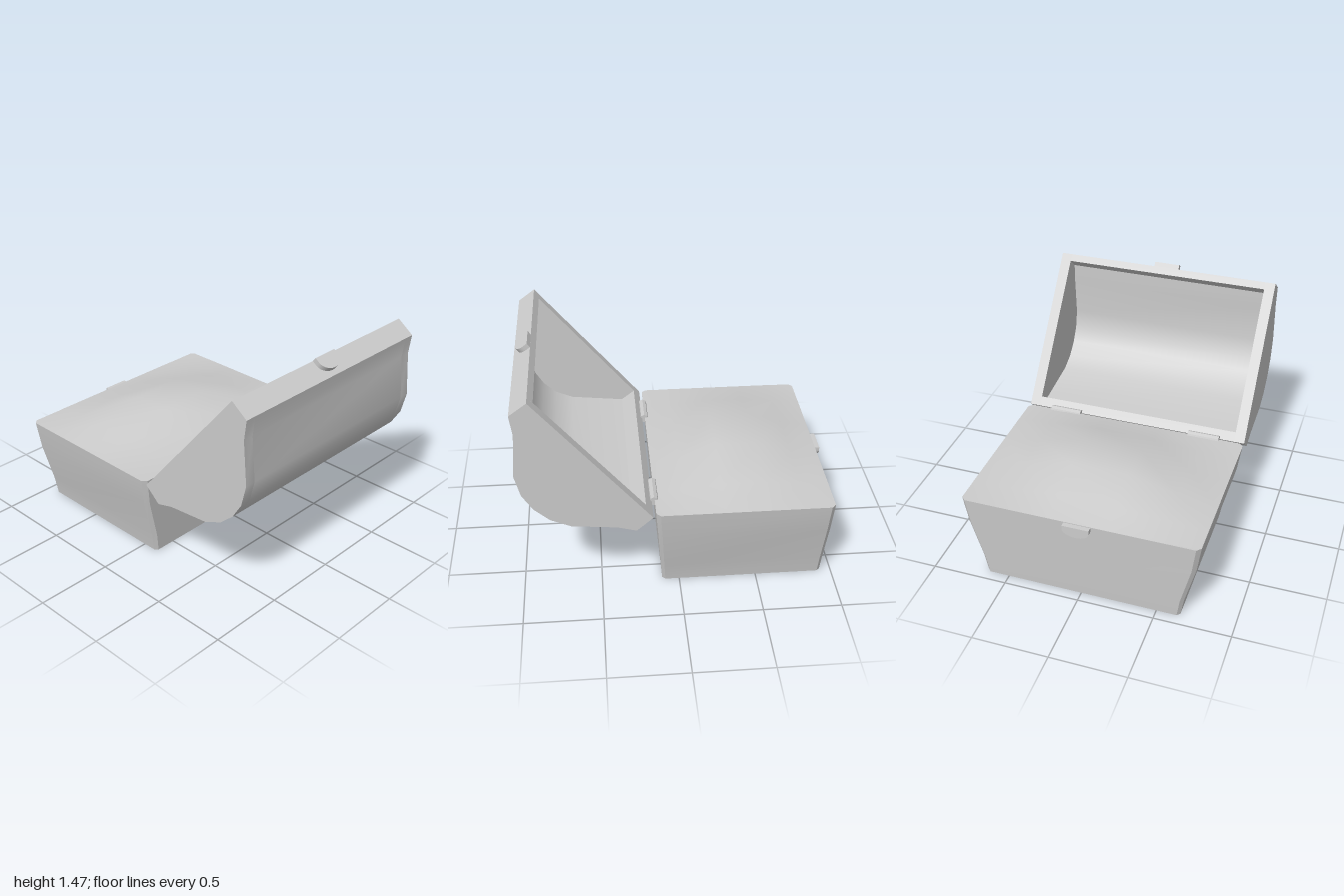
import * as THREE from 'three';
import { toCreasedNormals } from 'three/addons/utils/BufferGeometryUtils.js';

const material = new THREE.MeshStandardMaterial({ color: 0xcccccc });
const HALF_DEPTH = 0.772;

function addMesh(parent, name, geometry) {
  const mesh = new THREE.Mesh(geometry, material);
  mesh.name = name;
  parent.add(mesh);
  return mesh;
}

// Rectangle with cut corners, running from +x towards +z
function chamferedRing(x0, x1, hz, y, c) {
  return [
    [x1, -hz + c], [x1, hz - c], [x1 - c, hz], [x0 + c, hz],
    [x0, hz - c], [x0, -hz + c], [x0 + c, -hz], [x1 - c, -hz],
  ].map(([x, z]) => [x, y, z]);
}

// Closed solid through a stack of rings
function loft(rings) {
  const n = rings[0].length;
  const positions = rings.flat(2);
  const index = [];
  for (let r = 0; r < rings.length - 1; r++) {
    for (let i = 0; i < n; i++) {
      const a = r * n + i, b = r * n + (i + 1) % n;
      index.push(a, a + n, b, b, a + n, b + n);
    }
  }
  const top = (rings.length - 1) * n;
  for (let i = 1; i < n - 1; i++) {
    index.push(0, i, i + 1, top, top + i + 1, top + i);
  }
  const geometry = new THREE.BufferGeometry();
  geometry.setAttribute('position', new THREE.Float32BufferAttribute(positions, 3));
  geometry.setIndex(index);
  return toCreasedNormals(geometry, 0.6);
}

// Prism along z, centred on z = 0 unless moved
function prism(points, depth, z = 0) {
  const shape = new THREE.Shape(points.map(([x, y]) => new THREE.Vector2(x, y)));
  const geometry = new THREE.ExtrudeGeometry(shape, { depth, bevelEnabled: false });
  geometry.translate(0, 0, z - depth / 2);
  return toCreasedNormals(geometry, 0.6);
}

// Rounded plate; "up" is its long direction, "out" its thickness direction
function clasp(name, position, up, out, height) {
  const w = 0.087, straight = height * 0.35;
  const shape = new THREE.Shape();
  shape.moveTo(w, 0);
  shape.lineTo(-w, 0);
  shape.lineTo(-w, -straight);
  shape.absellipse(0, -straight, w, height - straight, Math.PI, Math.PI * 2, false, 0);
  shape.closePath();
  const geometry = new THREE.ExtrudeGeometry(shape, { depth: 0.035, bevelEnabled: false, curveSegments: 8 });
  const side = new THREE.Vector3().crossVectors(up, out);
  geometry.applyMatrix4(new THREE.Matrix4().makeBasis(side, up, out).setPosition(...position));
  const mesh = new THREE.Mesh(toCreasedNormals(geometry, 0.6), material);
  mesh.name = name;
  return mesh;
}

// Smooth heap filling the open box
function moundGeometry() {
  const xs = [-0.968, -0.78, -0.55, -0.28, -0.03, 0.152];
  const hx = [0, 0.33, 1, 1, 0.3, 0];
  const zs = [-HALF_DEPTH, -0.52, -0.19, 0.19, 0.52, HALF_DEPTH];
  const hz = [0, 0.32, 1, 1, 0.32, 0];
  const geometry = new THREE.PlaneGeometry(1, 1, 5, 5);
  const p = geometry.attributes.position;
  for (let j = 0; j < 6; j++) {
    for (let i = 0; i < 6; i++) {
      const corner = i % 5 === 0 && j % 5 === 0 ? 0.013 : 0;
      p.setXYZ(j * 6 + i,
        xs[i] - Math.sign(i - 2.5) * corner,
        0.601 + 0.12 * hx[i] * hz[j],
        zs[j] - Math.sign(j - 2.5) * corner);
    }
  }
  geometry.computeVertexNormals();
  return geometry;
}

export function createModel() {
  const model = new THREE.Group();
  model.name = 'openChest';

  // Box flaring towards the top
  addMesh(model, 'box', loft([
    chamferedRing(-0.93, 0.11, 0.652, 0, 0.02),
    chamferedRing(-0.94, 0.12, 0.673, 0.13, 0.022),
    chamferedRing(-0.955, 0.138, 0.745, 0.41, 0.025),
    chamferedRing(-0.968, 0.152, HALF_DEPTH, 0.6, 0.027),
  ]));
  addMesh(model, 'contents', moundGeometry());

  // Hollow lid, tipped open
  const lid = new THREE.Group();
  lid.name = 'lid';
  model.add(lid);
  const outer = [
    [0.17, 0.592], [0.275, 0.5], [0.39, 0.532], [0.675, 0.56], [0.8, 0.615], [0.895, 0.7],
    [0.96, 0.805], [0.995, 0.945], [0.973, 1.23], [0.99, 1.36], [0.882, 1.44],
  ];
  const inner = [
    [0.85, 1.402], [0.925, 1.335], [0.925, 1.22], [0.943, 0.95], [0.915, 0.825], [0.858, 0.735],
    [0.775, 0.66], [0.66, 0.612], [0.38, 0.582], [0.3, 0.575], [0.212, 0.642],
  ];
  const wall = 0.07;
  addMesh(lid, 'lidShell', prism([...outer, ...inner], 2 * (HALF_DEPTH - wall)));
  for (const s of [1, -1]) {
    addMesh(lid, 'lidEnd', prism(outer, wall, s * (HALF_DEPTH - wall / 2)));
  }

  // Hinge barrels
  for (const s of [1, -1]) {
    const barrel = new THREE.CylinderGeometry(0.03, 0.03, 0.215, 8);
    barrel.rotateX(Math.PI / 2);
    addMesh(model, 'hinge', toCreasedNormals(barrel, 0.6)).position.set(0.156, 0.592, s * 0.495);
  }

  // Matching clasp plates on box and lid
  model.add(clasp('boxClasp', [-0.965, 0.595, 0],
    new THREE.Vector3(0, 1, 0), new THREE.Vector3(-1, 0, 0), 0.075));
  lid.add(clasp('lidClasp', [0.88, 1.437, 0],
    new THREE.Vector3(-0.804, 0.595, 0), new THREE.Vector3(0.595, 0.804, 0), 0.1));
  return model;
}
